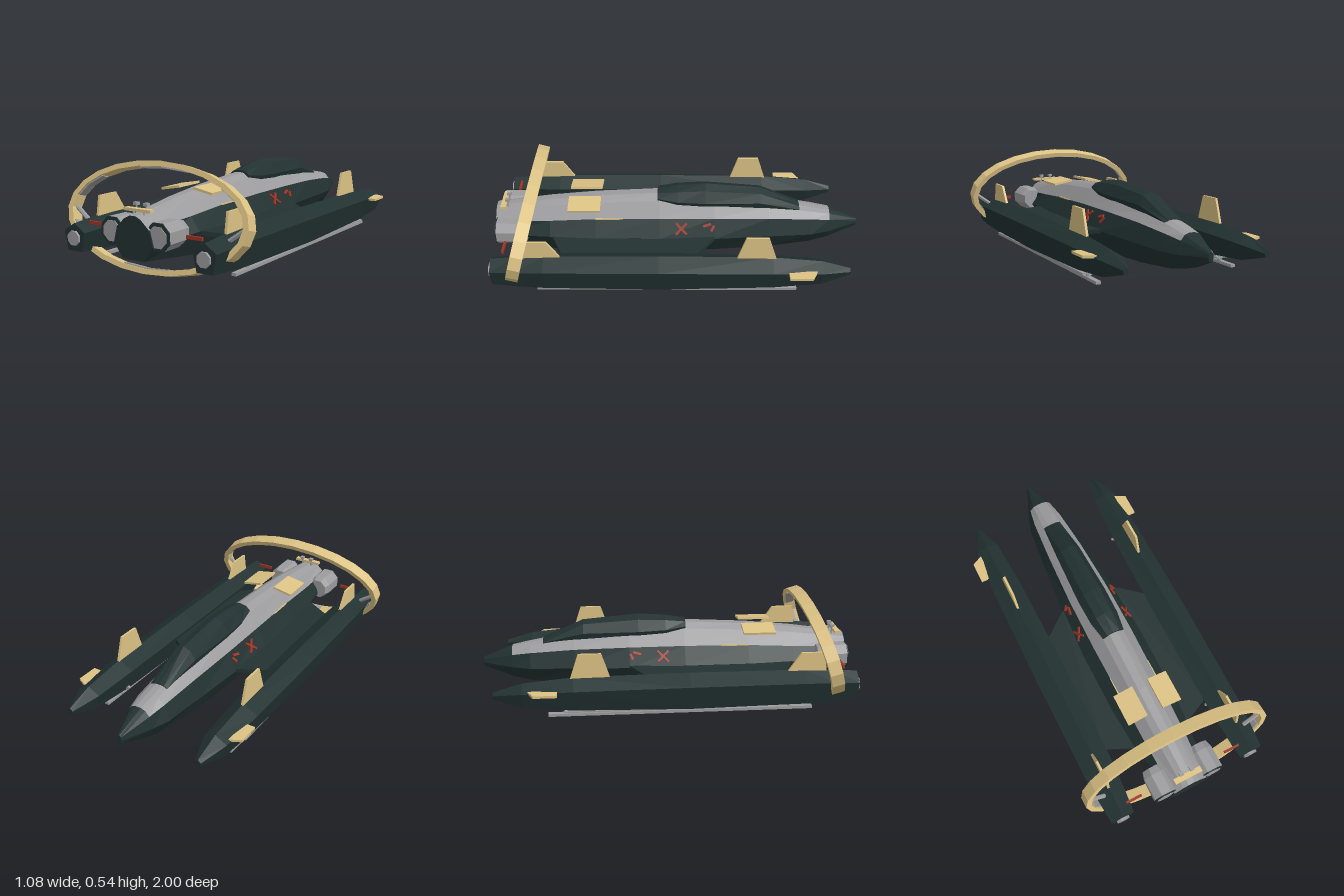
import * as THREE from 'three';

const mat = (name, color) => Object.assign(new THREE.MeshStandardMaterial({ color, flatShading: true }), { name });
const dark = mat('dark hull', 0x223131);
const grey = mat('grey panel', 0x9c9c9e);
const tan = mat('tan trim', 0xdcc284);
const red = mat('red marking', 0x9e3324);

function add(parent, name, geo, material, x = 0, y = 0, z = 0) {
  const m = new THREE.Mesh(geo, material);
  m.name = name;
  m.position.set(x, y, z);
  parent.add(m);
  return m;
}
const box = (parent, name, material, size, pos) => add(parent, name, new THREE.BoxGeometry(...size), material, ...pos);

function rod(parent, name, material, a, b, r) {
  const from = new THREE.Vector3(...a), to = new THREE.Vector3(...b), d = to.clone().sub(from);
  const m = add(parent, name, new THREE.CylinderGeometry(r, r, d.length(), 6), material);
  m.position.copy(from).add(to).multiplyScalar(0.5);
  m.quaternion.setFromUnitVectors(new THREE.Vector3(0, 1, 0), d.normalize());
  return m;
}

// Mirrored half sections, listed from the bottom up and ordered by rising z.
// isPanel(section, side) marks the faces that take the second material.
function loft(sections, isPanel = () => false) {
  const rings = sections.map(({ z, half }) => [
    ...half.map(([x, y]) => [x, y, z]),
    ...half.filter(p => p[0] > 0).reverse().map(([x, y]) => [-x, y, z]),
  ]);
  const faces = [[], []], n = rings[0].length;
  for (let i = 0; i < rings.length - 1; i++) {
    for (let j = 0; j < n; j++) {
      const k = (j + 1) % n, a = rings[i][j], b = rings[i][k], c = rings[i + 1][k], d = rings[i + 1][j];
      faces[isPanel(i, j) ? 1 : 0].push(a, b, d, b, c, d);
    }
  }
  const s = rings[0], e = rings[rings.length - 1];
  for (let j = 1; j < n - 1; j++) faces[0].push(e[0], e[j], e[j + 1], s[0], s[j + 1], s[j]);
  const geo = new THREE.BufferGeometry();
  geo.setAttribute('position', new THREE.Float32BufferAttribute([...faces[0], ...faces[1]].flat(), 3));
  geo.addGroup(0, faces[0].length, 0);
  geo.addGroup(faces[0].length, faces[1].length, 1);
  geo.computeVertexNormals();
  return geo;
}

// Flat outline pushed out to a depth centred on its plane
function plate(points, depth, holes = []) {
  const shape = new THREE.Shape(points);
  shape.holes = holes.map(h => new THREE.Path(h));
  return new THREE.ExtrudeGeometry(shape, { depth, bevelEnabled: false }).translate(0, 0, -depth / 2);
}
const pts = list => list.map(([x, y]) => new THREE.Vector2(x, y));
const ellipse = (rx, ry, a0, a1, n, open) => Array.from({ length: open ? n + 1 : n }, (_, i) => {
  const a = a0 + (a1 - a0) * i / n;
  return new THREE.Vector2(rx * Math.cos(a), ry * Math.sin(a));
});
// Outlines drawn as (z, y) for upright plates and (x, z) for level ones
const upright = (list, t) => plate(pts(list.map(([z, y]) => [-z, y])), t).rotateY(Math.PI / 2);
const level = (list, t) => plate(pts(list.map(([x, z]) => [x, -z])), t).rotateX(-Math.PI / 2);
const octagon = (front, rear, len) =>
  new THREE.CylinderGeometry(rear, front, len, 8).rotateY(Math.PI / 8).rotateX(Math.PI / 2);

function buildFuselage(ship) {
  // z, bottom y, bottom x, widest x, widest y, panel x, panel y, top x, top y
  const rows = [
    [-1, .17, .008, .014, .19, .012, .205, .006, .215],
    [-.84, .11, .035, .078, .18, .062, .245, .03, .28],
    [-.74, .09, .05, .11, .18, .08, .26, .035, .3],
    [-.5, .075, .08, .135, .185, .1, .28, .04, .345],
    [-.2, .068, .1, .165, .19, .115, .29, .045, .385],
    [.1, .065, .11, .177, .2, .118, .292, .045, .4],
    [.45, .07, .11, .175, .2, .113, .285, .045, .38],
    [.7, .08, .105, .16, .2, .108, .27, .042, .355],
    [1, .105, .065, .115, .18, .095, .255, .035, .312],
  ];
  const sections = rows.map(([z, yb, b, w, yw, g, yg, t, yt]) => ({
    z, half: [[b, yb], [w, yw], [g, yg], [t * 1.35, yt - (yt - yg) * .25], [t * .5, yt]],
  }));
  add(ship, 'fuselage', loft(sections, (i, j) => i > 0 && j >= 2 && j <= 6), [dark, grey]);

  const cockpit = [[-.67, .05, .295, .305, .318], [-.45, .07, .315, .36, .42], [-.15, .083, .33, .366, .446],
    [0, .08, .34, .372, .435], [.11, .063, .36, .385, .412]];
  add(ship, 'canopy', loft(cockpit.map(([z, w, yb, yw, yt]) => ({
    z, half: [[w * .85, yb], [w, yw], [w * .6, yt - (yt - yw) * .25], [0, yt]],
  }))), [dark, grey]);
  box(ship, 'tailBar', tan, [.156, .014, .03], [0, .333, .955]);
}

function buildSide(side) {
  // Wing falling gently towards the pod
  const wing = level([[.12, -.23], [.165, -.2], [.31, -.09], [.31, .615], [.16, .685], [.12, .7]], .022);
  const p = wing.attributes.position;
  for (let i = 0; i < p.count; i++) p.setY(i, p.getY(i) + .195 - (p.getX(i) - .12) * .12);
  wing.computeVertexNormals();
  add(side, 'wing', wing, dark);

  // Outrigger pod: z, bottom y, bottom x, side x, side y, ridge y
  const pod = [[-.91, .135, .01, .016, .155, .17], [-.76, .095, .04, .065, .18, .215], [-.5, .077, .05, .08, .192, .24],
    [.1, .067, .056, .088, .2, .247], [.7, .075, .054, .085, .2, .245], [.85, .083, .05, .076, .195, .24], [.98, .092, .044, .065, .187, .23]];
  add(side, 'pod', loft(pod.map(([z, yb, b, w, yw, yt]) => ({ z, half: [[b, yb], [w, yw], [0, yt]] }))), [dark, grey], .386);
  add(side, 'podNozzle', octagon(.038, .038, .02), grey, .386, .157, .982);

  // Fins
  add(side, 'frontFin', upright([[-.306, .22], [-.354, .366], [-.472, .366], [-.52, .22]], .013), tan, .386);
  add(side, 'rearFin', upright([[.82, .22], [.8, .34], [.68, .34], [.6, .22]], .013), tan, .386);
  add(side, 'sideFin', level([[.44, -.73], [.5, -.7], [.5, -.58], [.44, -.58]], .013), tan, 0, .185);

  // Engine with dark rim
  add(side, 'engine', octagon(.058, .07, .04), grey, .135, .225, .845);
  add(side, 'engineBody', octagon(.07, .071, .12), grey, .135, .225, .925);
  add(side, 'engineRim', octagon(.072, .072, .006), dark, .135, .225, .986);
  add(side, 'engineNozzle', octagon(.054, .054, .006), grey, .135, .225, .99);

  // Dorsal flap, trim and tail block
  box(side, 'dorsalFlap', tan, [.113, .012, .175], [.1, .375, .505]).rotation.z = -.18;
  box(side, 'edgeTrim', tan, [.008, .006, .15], [.113, .287, .375]);
  box(side, 'tailBlock', grey, [.022, .014, .022], [.03, .357, .935]);
  rod(side, 'tailBarPost', grey, [.03, .3, .955], [.03, .335, .955], .005);
  rod(side, 'tailBlockPost', grey, [.03, .31, .935], [.03, .355, .935], .004);

  // Red bar and hull marks
  box(side, 'redBar', red, [.088, .017, .012], [.293, .231, .925]);
  const marks = new THREE.Group();
  marks.name = 'hullMarks';
  marks.position.set(.149, .247, -.09);
  marks.rotation.z = .56;
  side.add(marks);
  for (const a of [.8, -.8]) box(marks, 'crossMark', red, [.008, .012, .085], [0, 0, .07]).rotation.x = a;
  box(marks, 'barMark', red, [.008, .014, .045], [-.002, .02, -.07]).rotation.x = .3;
  box(marks, 'barMark', red, [.008, .014, .035], [-.002, .002, -.1]).rotation.x = 1.1;

  // Landing skid
  box(side, 'podKeel', grey, [.09, .008, .82], [.386, .065, -.14]);
  box(side, 'skidRail', grey, [.026, .015, 1.385], [.386, .035, .058]);
  for (const z of [.63, -.52]) {
    box(side, 'skidFoot', grey, [.05, .008, .05], [.386, .068, z]);
    rod(side, 'skidPost', grey, [.386, .035, z], [.386, .085, z], .009);
    rod(side, 'skidBrace', grey, [.383, .043, z], [.318, .1, z], .008);
  }
  rod(side, 'ringStrut', grey, [.4, .2, .84], [.505, .275, .83], .012);
}

function buildRing(ship) {
  const ring = new THREE.Group();
  ring.name = 'tailRing';
  ring.position.set(0, .273, .83);
  ring.rotation.x = -.28;
  ship.add(ring);
  const full = Math.PI * 2;
  add(ring, 'hoop', plate(ellipse(.538, .269, 0, full, 24), .065, [ellipse(.508, .243, 0, full, 24)]), tan);
  // Inner panels every sixty degrees
  for (let i = 0; i < 6; i++) {
    const a = Math.PI / 6 + i * Math.PI / 3, s = Math.PI / 12;
    const arc = [...ellipse(.51, .245, a - s, a + s, 2, true), ...ellipse(.502, .237, a - s, a + s, 2, true).reverse()];
    add(ring, 'hoopPanel', plate(arc, .045), grey);
  }
}

export function createModel() {
  const ship = new THREE.Group();
  ship.name = 'spaceship';
  buildFuselage(ship);
  for (const s of [1, -1]) {
    const side = new THREE.Group();
    side.name = s > 0 ? 'leftSide' : 'rightSide';
    side.scale.x = s;
    buildSide(side);
    ship.add(side);
  }
  buildRing(ship);
  return ship;
}
